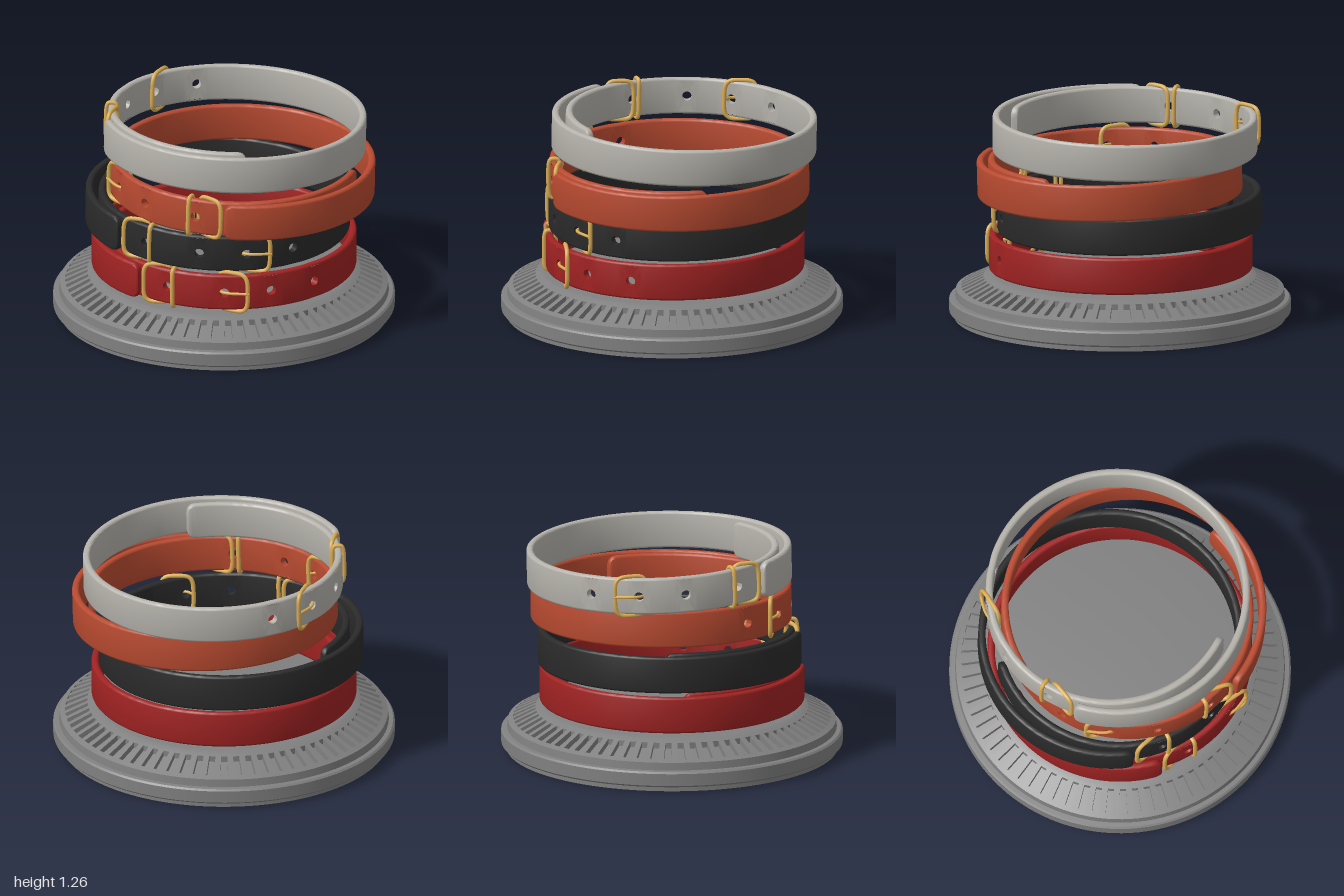
import * as THREE from 'three';
import { toCreasedNormals } from 'three/addons/utils/BufferGeometryUtils.js';

const rad = THREE.MathUtils.degToRad;
const mat = (color) => new THREE.MeshStandardMaterial({ color });
const gold = mat(0xdcae55);

// Strap dimensions; angles in degrees run from the outer tip
const HALF = 0.109, THICK = 0.021, EDGE = 0.015, TIP = 0.05;
const START = -85, END = 360;
const HOLES = [14, 41, 62, 84], CELL = 4.5, HOLE_R = 0.028;
const stripRadius = (u) => 0.665 + 0.09 * THREE.MathUtils.smoothstep(u, START, 95);

// Point at angle u, radial offset d from the strap's middle, height y
function at(u, d, y, side) {
  const r = stripRadius(u) + d, a = rad(u) * side;
  return new THREE.Vector3(r * Math.sin(a), y, r * Math.cos(a));
}

function mesh(name, geometry, material) {
  const m = new THREE.Mesh(geometry, material);
  m.name = name;
  return m;
}

// Rounded rectangular cross-section, narrower near the strap's rounded ends
function section(u, side) {
  const end = Math.min(u - START, END - u) * rad(1) * 0.72;
  const e = Math.max(0, TIP - end);
  const half = HALF - TIP + Math.sqrt(TIP * TIP - e * e);
  const thick = end < 0.008 ? THICK - 0.005 + end * 0.6 : THICK;
  const pts = [];
  for (let q = 0; q < 4; q++) {
    const sd = q === 0 || q === 3 ? 1 : -1, sy = q < 2 ? 1 : -1;
    for (let k = 0; k < 4; k++) {
      const a = rad(q * 90 + k * 30);
      pts.push(at(u, sd * (thick - EDGE) + EDGE * Math.cos(a), sy * (half - EDGE) + EDGE * Math.sin(a), side));
    }
  }
  return pts;
}

// Overlapping spiral strap with real punched holes
function strapGeometry(side) {
  const pos = [];
  const tri = (a, b, c) => (side > 0 ? [a, b, c] : [a, c, b]).forEach((p) => pos.push(p.x, p.y, p.z));
  const quad = (a, b, c, d) => { tri(a, b, c); tri(a, c, d); };

  const stations = [];
  for (const d of [0, 0.2, 0.6, 1.2, 2, 3]) stations.push(START + d, END - d);
  for (let u = START + 5; u < END - 4; u += 2.5) {
    if (!HOLES.some((h) => Math.abs(u - h) < CELL + 0.3)) stations.push(u);
  }
  HOLES.forEach((h) => stations.push(h - CELL, h + CELL));
  stations.sort((a, b) => a - b);

  const rings = stations.map((u) => section(u, side));
  for (let i = 0; i < rings.length - 1; i++) {
    const mid = (stations[i] + stations[i + 1]) / 2;
    const punched = HOLES.some((h) => Math.abs(mid - h) < 0.1);
    const A = rings[i], B = rings[i + 1];
    for (let j = 0; j < 16; j++) {
      if (punched && (j === 7 || j === 15)) continue;
      const k = (j + 1) % 16;
      quad(A[j], B[j], B[k], A[k]);
    }
  }
  // End caps
  const first = rings[0], last = rings[rings.length - 1];
  for (let j = 1; j < 15; j++) {
    tri(first[0], first[j], first[j + 1]);
    tri(last[0], last[j + 1], last[j]);
  }
  // Faces and wall around each hole
  const N = 24;
  for (const h of HOLES) {
    const holeDeg = HOLE_R / stripRadius(h) / rad(1);
    const rim = (k, d) => {
      const c = Math.cos(k / N * 2 * Math.PI), s = Math.sin(k / N * 2 * Math.PI);
      const m = Math.max(Math.abs(c), Math.abs(s));
      return [at(h + c / m * CELL, d, s / m * (HALF - EDGE), side), at(h + c * holeDeg, d, s * HOLE_R, side)];
    };
    for (let k = 0; k < N; k++) {
      const [s0, c0] = rim(k, THICK), [s1, c1] = rim(k + 1, THICK);
      const [t0, e0] = rim(k, -THICK), [t1, e1] = rim(k + 1, -THICK);
      quad(s0, s1, c1, c0);
      quad(t1, t0, e0, e1);
      quad(c0, c1, e1, e0);
    }
  }
  const g = new THREE.BufferGeometry();
  g.setAttribute('position', new THREE.Float32BufferAttribute(pos, 3));
  return toCreasedNormals(g, 0.65);
}

// Rounded metal loop standing between two plan points given as [angle, offset]
function loopGeometry([u0, d0], [u1, d1], side) {
  const a = at(u0, d0, 0, side), b = at(u1, d1, 0, side), pts = [];
  const round = (v) => Math.sign(v) * Math.sqrt(Math.abs(v));
  for (let k = 0; k < 36; k++) {
    const t = k / 36 * Math.PI * 2;
    const p = a.clone().lerp(b, 0.5 + 0.5 * round(Math.cos(t)));
    p.y = 0.118 * round(Math.sin(t));
    pts.push(p);
  }
  return new THREE.TubeGeometry(new THREE.CatmullRomCurve3(pts, true), 80, 0.013, 8, true);
}

// Collar: strap, end ring, keeper and pin buckle at the chosen hole
function collar({ name, color, side, tip, hole, position, tilt }) {
  const g = new THREE.Group();
  g.name = name;
  g.add(mesh('strap', strapGeometry(side), mat(color)));
  g.add(mesh('endRing', loopGeometry([1.8, 0.042], [14, -0.036], side), gold));
  g.add(mesh('keeper', loopGeometry([17, 0.034], [17, -0.034], side), gold));
  const u = HOLES[hole];
  g.add(mesh('buckleFrame', loopGeometry([u + 10, 0.045], [u - 3, -0.036], side), gold));
  const pinPath = new THREE.CatmullRomCurve3([
    at(u - 3, -0.036, 0, side), at(u - 0.8, 0.012, 0, side), at(u + 2, 0.03, 0, side), at(u + 10.5, 0.052, 0, side),
  ]);
  g.add(mesh('bucklePin', new THREE.TubeGeometry(pinPath, 20, 0.009, 8), gold));
  g.position.set(...position);
  g.rotation.set(tilt[0], rad(tip), tilt[1], 'ZXY');
  return g;
}

// Round plinth with a ring of radial slots in its sloping shoulder
function base() {
  const g = new THREE.Group();
  g.name = 'base';
  const grey = mat(0x808080);
  const profile = [
    [0, 0], [0.97, 0], [0.97, 0.03], [0.99, 0.03], [1, 0.04], [1, 0.112], [0.99, 0.122], [0.965, 0.125],
    [0.96, 0.17], [0.93, 0.184], [0.93, 0.15], [0.8, 0.211], [0.8, 0.246], [0.765, 0.263], [0.75, 0.265], [0, 0.265],
  ].map(([x, y]) => new THREE.Vector2(x, y));
  g.add(mesh('plinth', toCreasedNormals(new THREE.LatheGeometry(profile, 120), 0.5), grey));
  const rib = new THREE.BoxGeometry(0.034, 0.05, 0.146);
  rib.rotateX(Math.atan2(0.062, 0.13));
  rib.translate(0, 0.192, 0.855);
  const count = 72;
  for (let i = 0; i < count; i++) {
    const m = mesh('rib', rib, grey);
    m.rotation.y = i / count * Math.PI * 2;
    g.add(m);
  }
  return g;
}

export function createModel() {
  const model = new THREE.Group();
  model.name = 'collarStand';
  model.add(base());
  const collars = [
    { name: 'redCollar', color: 0xa02222, side: 1, tip: 0, hole: 1, position: [0, 0.403, 0], tilt: [0, 0] },
    { name: 'blackCollar', color: 0x2a2a2a, side: 1, tip: -8.6, hole: 2, position: [-0.055, 0.643, -0.01], tilt: [0, -0.025] },
    { name: 'orangeCollar', color: 0xb84a30, side: -1, tip: 32.8, hole: 2, position: [0.1, 0.872, -0.05], tilt: [0, -0.03] },
    { name: 'greyCollar', color: 0xb5b2ab, side: -1, tip: -38, hole: 2, position: [0.01, 1.115, -0.075], tilt: [-0.025, -0.01] },
  ];
  collars.forEach((c) => model.add(collar(c)));
  return model;
}
